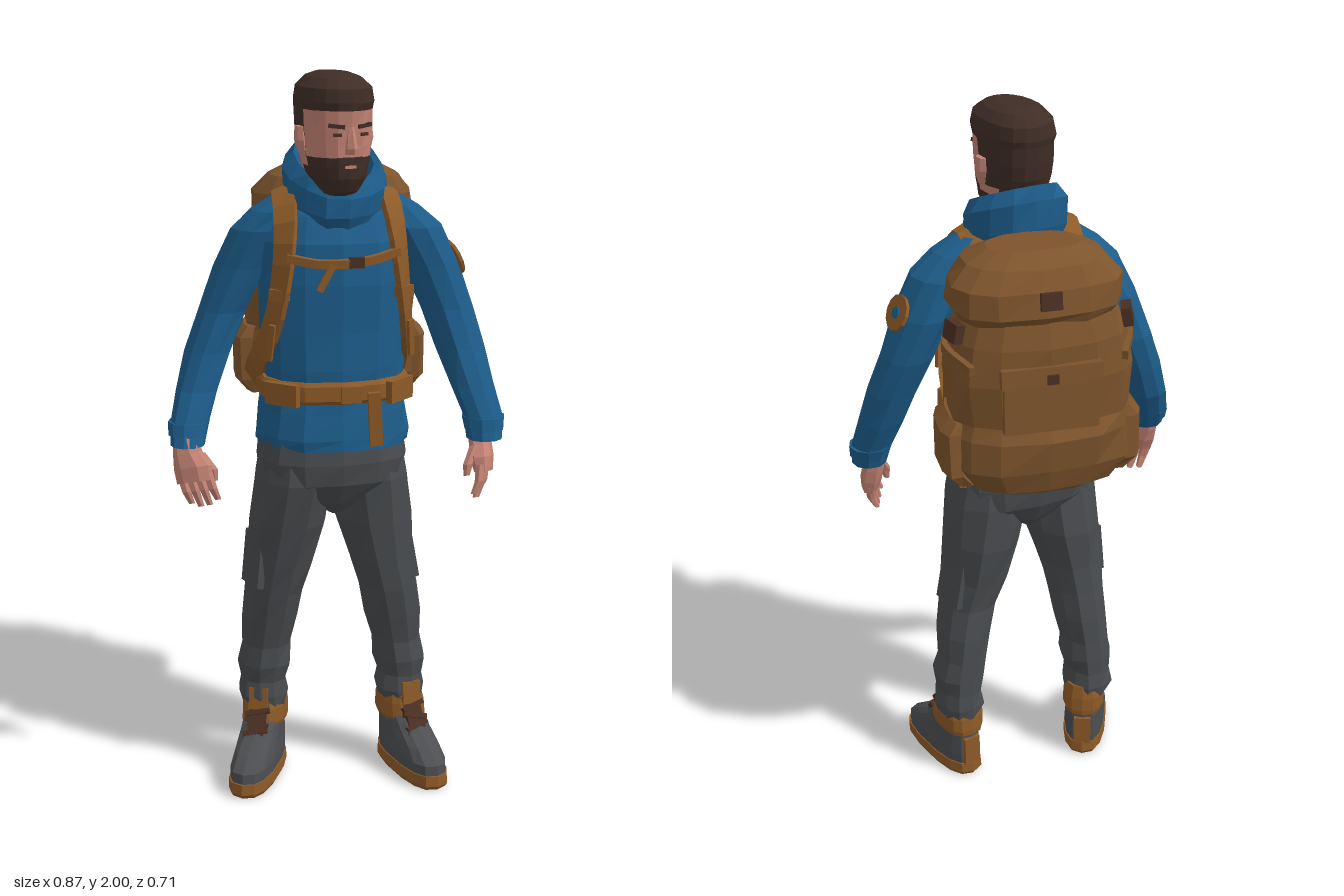
import * as THREE from 'three';

const paint = (name, color) => {
  const m = new THREE.MeshStandardMaterial({ color, flatShading: true });
  m.name = name;
  return m;
};
const M = {
  jacket: paint('jacket blue', 0x1d5d8b), pants: paint('trouser grey', 0x494c4f),
  pack: paint('pack brown', 0x7d542c), strap: paint('strap tan', 0x8d5a27),
  hair: paint('hair brown', 0x402d26), skin: paint('skin', 0xc48374),
  boot: paint('boot grey', 0x4c4e51), dark: paint('dark leather', 0x4b2f23),
};

// Small repeatable noise for cloth folds
const noise = (i, j) => { const s = Math.sin(i * 12.9898 + j * 78.233 + 4.1) * 43758.5453; return (s - Math.floor(s)) * 2 - 1; };

// Skin over horizontal rings [x, y, z, rx, rz, tilt], listed from low to high.
// mat may be an array, with pick(x, y, z) choosing the material of each face.
function loft(name, rings, mat, { n = 12, e = 2, jitter = 0, caps = true, pick } = {}) {
  const pos = [], idx = [], geo = new THREE.BufferGeometry();
  rings.forEach(([x, y, z, rx, rz, tilt = 0], j) => {
    for (let i = 0; i < n; i++) {
      const a = (i + 0.5) / n * Math.PI * 2, c = Math.cos(a), s = Math.sin(a);
      const k = 1 + jitter * noise(i, j);
      const dx = Math.sign(c) * Math.abs(c) ** (2 / e) * rx * k, dz = Math.sign(s) * Math.abs(s) ** (2 / e) * rz * k;
      pos.push(x + dx, y + tilt * dz, z + dz);
    }
  });
  const faces = [];
  for (let j = 0; j < rings.length - 1; j++) for (let i = 0; i < n; i++) {
    const a = j * n + i, b = j * n + (i + 1) % n;
    faces.push([a, a + n, b, b, a + n, b + n]);
  }
  if (caps) [0, rings.length - 1].forEach((j, top) => {
    const c = pos.length / 3;
    pos.push(rings[j][0], rings[j][1], rings[j][2]);
    for (let i = 0; i < n; i++) {
      const a = j * n + i, b = j * n + (i + 1) % n;
      faces.push(top ? [c, b, a] : [c, a, b]);
    }
  });
  const mid = (f, k) => f.reduce((t, v) => t + pos[v * 3 + k], 0) / f.length;
  if (pick) {
    mat.forEach((_, m) => {
      const mine = faces.filter(f => pick(mid(f, 0), mid(f, 1), mid(f, 2)) === m).flat();
      geo.addGroup(idx.length, mine.length, m);
      idx.push(...mine);
    });
  } else idx.push(...faces.flat());
  geo.setAttribute('position', new THREE.Float32BufferAttribute(pos, 3));
  geo.setIndex(idx);
  geo.computeVertexNormals();
  const mesh = new THREE.Mesh(geo, mat);
  mesh.name = name;
  return mesh;
}

function box(name, size, at, mat, rot = [0, 0, 0]) {
  const mesh = new THREE.Mesh(new THREE.BoxGeometry(...size), mat);
  mesh.name = name;
  mesh.position.set(...at);
  mesh.rotation.set(...rot);
  return mesh;
}

// Flat webbing along a path, lying square to the line from the centre c
function strap(name, points, width, mat, c = [0, 1.35, 0], steps = 16, thick = 0.016) {
  const curve = new THREE.CatmullRomCurve3(points.map(p => new THREE.Vector3(...p)));
  const pos = [], idx = [], centre = new THREE.Vector3(...c);
  for (let i = 0; i <= steps; i++) {
    const p = curve.getPoint(i / steps), t = curve.getTangent(i / steps);
    const out = p.clone().sub(centre);
    out.addScaledVector(t, -out.dot(t)).normalize();
    const side = t.clone().cross(out);
    for (const [w, h] of [[-1, -1], [1, -1], [1, 1], [-1, 1]])
      pos.push(...p.clone().addScaledVector(side, w * width / 2).addScaledVector(out, h * thick / 2).toArray());
    if (i < steps) for (let k = 0; k < 4; k++) {
      const a = i * 4 + k, b = i * 4 + (k + 1) % 4;
      idx.push(a, a + 4, b, b, a + 4, b + 4);
    }
  }
  const l = steps * 4;
  idx.push(0, 1, 2, 0, 2, 3, l, l + 2, l + 1, l, l + 3, l + 2);
  const geo = new THREE.BufferGeometry();
  geo.setAttribute('position', new THREE.Float32BufferAttribute(pos, 3));
  geo.setIndex(idx);
  geo.computeVertexNormals();
  const mesh = new THREE.Mesh(geo, mat);
  mesh.name = name;
  return mesh;
}

function group(name, at, yaw, ...parts) {
  const g = new THREE.Group();
  g.name = name;
  g.position.set(...at);
  g.rotation.y = yaw;
  if (parts.length) g.add(...parts);
  return g;
}

function makeHead() {
  const rings = [[0, 1.6, -0.02, .062, .068], [0, 1.68, -0.01, .062, .073], [0, 1.7, .03, .052, .07], [0, 1.735, .018, .074, .098],
    [0, 1.765, .012, .083, .107], [0, 1.79, .006, .087, .114], [0, 1.82, .001, .09, .121], [0, 1.86, 0, .092, .126], [0, 1.91, 0, .094, .13],
    [0, 1.93, 0, .097, .136], [0, 1.965, 0, .09, .13], [0, 1.99, -.005, .066, .1], [0, 2, -.005, .04, .065]];
  const pick = (x, y, z) => {
    if (y > 1.915 || (z < -.035 && y > 1.745)) return 1;
    if (y > 1.685 && y < 1.78 && z > .01) return 1;
    return z < .035 && y > 1.78 ? 1 : 0;
  };
  const g = group('head', [-.012, 0, .13], -.1, loft('headAndHair', rings, [M.skin, M.hair], { n: 18, e: 2.2, jitter: .02, pick }));
  g.add(loft('nose', [[0, 1.8, .115, .018, .026], [0, 1.815, .118, .017, .028], [0, 1.87, .118, .009, .01]], M.skin, { n: 6 }));
  g.add(box('moustache', [.07, .014, .02], [0, 1.785, .112], M.hair), box('lips', [.03, .008, .009], [0, 1.767, .116], M.skin));
  for (const s of [-1, 1]) {
    g.add(box('brow', [.042, .01, .014], [s * .038, 1.872, .116], M.hair, [0, s * .3, s * .1]));
    g.add(box('eye', [.022, .008, .009], [s * .037, 1.85, .118], M.dark, [0, s * .3, 0]));
    g.add(loft('ear', [[s * .088, 1.79, .012, .01, .014], [s * .095, 1.83, .006, .014, .026], [s * .095, 1.865, .003, .011, .022]], M.skin, { n: 6 }));
  }
  return g;
}

function makeTorso() {
  const g = group('torso', [.02, 0, .07], -.3);
  g.add(loft('jacketBody', [[0, 1, 0, .207, .158], [0, 1.03, 0, .211, .161], [0, 1.1, 0, .2, .152], [0, 1.16, 0, .188, .142], [0, 1.22, 0, .196, .148],
    [0, 1.32, 0, .196, .148], [0, 1.45, 0, .203, .152], [0, 1.56, 0, .2, .145], [0, 1.63, 0, .175, .115], [0, 1.68, 0, .12, .09], [0, 1.71, 0, .08, .07]],
    M.jacket, { n: 14, e: 2.4, jitter: .025 }));
  g.add(loft('hipBelt', [[0, 1.13, 0, .2, .153], [0, 1.14, 0, .207, .16], [0, 1.18, 0, .207, .16], [0, 1.19, 0, .2, .153]], M.strap, { n: 14, e: 2.4 }));
  g.add(box('beltBuckle', [.055, .045, .02], [.02, 1.16, .163], M.strap), box('beltTail', [.035, .15, .014], [.085, 1.09, .166], M.strap, [.06, 0, .06]));
  for (const s of [-1, 1]) {
    g.add(strap('shoulderStrap', [[s * .11, 1.57, -.15], [s * .13, 1.655, -.07], [s * .138, 1.69, .02], [s * .146, 1.62, .105],
      [s * .158, 1.5, .135], [s * .18, 1.35, .105], [s * .208, 1.22, 0], [s * .2, 1.15, -.13]], .062, M.strap));
    g.add(box('strapAdjuster', [.05, .03, .024], [s * .168, 1.43, .132], M.strap, [0, s * .6, 0]));
    g.add(box('strapTail', [.018, .1, .01], [s * .19, 1.3, .12], M.strap, [.1, s * .6, s * .1]));
    g.add(box('beltPad', [.1, .06, .02], [s * .16, 1.16, .126], M.strap, [0, s * .75, 0]));
  }
  g.add(strap('chestStrap', [[-.15, 1.53, .15], [-.06, 1.515, .17], [.06, 1.52, .17], [.15, 1.54, .15]], .022, M.strap, [0, 1.53, 0]));
  g.add(box('chestBuckle', [.04, .028, .016], [.03, 1.517, .174], M.dark), box('chestTail', [.018, .08, .01], [-.05, 1.48, .175], M.strap, [0, 0, -.5]));
  return g;
}

function makePack() {
  const g = group('backpack', [.125, 0, -.152], -.41);
  const o = { n: 14, e: 2.6, jitter: .04 };
  g.add(loft('packBody', [[0, 1.055, 0, .14, .085], [0, 1.085, 0, .205, .13], [0, 1.15, 0, .245, .152], [0, 1.24, 0, .252, .156], [0, 1.28, 0, .235, .142],
    [0, 1.4, 0, .243, .148], [0, 1.5, 0, .235, .143], [0, 1.59, 0, .2, .12]], M.pack, o));
  g.add(loft('packLid', [[.01, 1.555, .005, .205, .13], [.01, 1.585, .005, .23, .15], [.01, 1.65, .005, .222, .14], [.01, 1.7, .01, .185, .11], [.01, 1.73, .015, .12, .065]], M.pack, o));
  g.add(loft('backPanel', [[.02, 1.1, .13, .16, .04], [.02, 1.16, .135, .21, .06], [.02, 1.4, .135, .21, .06], [.01, 1.52, .12, .16, .04]], M.pack, { n: 10, e: 2.6, jitter: .03 }));
  g.add(box('backPocket', [.25, .17, .04], [0, 1.36, -.134], M.pack, [.04, 0, 0]), box('pocketFlap', [.265, .05, .045], [0, 1.43, -.137], M.pack, [.1, 0, 0]));
  g.add(box('pocketButton', [.03, .025, .009], [0, 1.425, -.163], M.dark), box('lidClip', [.055, .045, .014], [0, 1.63, -.142], M.dark, [.15, 0, 0]));
  for (const s of [-1, 1]) {
    g.add(loft('sidePocket', [[s * .205, 1.09, .01, .03, .08], [s * .235, 1.13, .01, .035, .1], [s * .238, 1.25, .01, .034, .095], [s * .222, 1.28, .01, .02, .08]], M.pack, { n: 8, e: 2.6, jitter: .05 }));
    g.add(box('lidBuckle', [.026, .05, .06], [s * .228, 1.53, -.04], M.dark, [0, s * .3, s * .2]));
    g.add(strap('compressionStrap', [[s * .2, 1.48, .115], [s * .245, 1.47, 0], [s * .2, 1.45, -.12]], .025, M.pack, [0, 1.46, 0], 8));
    g.add(box('hangingStrap', [.02, .1, .014], [s * .19, 1.075, .05], M.strap, [0, 0, s * .1]));
  }
  return g;
}

function makeHand(name, at, s, yaw) {
  const g = group(name, at, yaw);
  g.rotation.x = -.3;
  g.add(loft('palm', [[0, -.1, .01, .024, .052], [0, -.06, .01, .032, .054], [0, -.02, 0, .031, .04], [0, .04, 0, .028, .03]], M.skin, { n: 8, e: 2.4 }));
  for (let i = 0; i < 4; i++) {
    const z = -.027 + i * .026, drop = .158 + .012 * Math.sin(i * 1.1);
    g.add(loft('finger', [[-s * .03, -drop, z + .006, .008, .009], [-s * .01, -.125, z + .004, .013, .013], [0, -.08, z, .014, .014]], M.skin, { n: 6 }));
  }
  g.add(loft('thumb', [[-s * .042, -.105, .05, .009, .009], [-s * .034, -.075, .052, .015, .015], [-s * .01, -.025, .03, .017, .017]], M.skin, { n: 6 }));
  return g;
}

function makeBoot(name, at, yaw) {
  const g = group(name, at, yaw);
  const o = { n: 14, e: 2.6 };
  g.add(loft('sole', [[0, 0, .08, .058, .156], [0, .012, .08, .064, .165], [0, .042, .08, .063, .162]], M.strap, o));
  g.add(loft('upper', [[0, .035, .08, .06, .157], [0, .07, .078, .061, .156], [0, .105, .055, .058, .13], [0, .135, .028, .056, .1],
    [0, .17, .005, .055, .076], [0, .22, 0, .055, .07]], M.boot, o));
  g.add(loft('collar', [[0, .145, .002, .057, .083], [0, .16, .001, .062, .083], [0, .2, -.002, .062, .077], [0, .24, -.004, .052, .066]], M.strap, o));
  g.add(box('heelPatch', [.05, .09, .012], [0, .085, -.073], M.strap), box('tongueTop', [.055, .07, .014], [0, .23, .068], M.strap, [-.12, 0, 0]));
  g.add(box('tongue', [.05, .12, .014], [0, .15, .102], M.dark, [-.55, 0, 0]));
  for (let i = 0; i < 4; i++) g.add(box('lace', [.07, .014, .016], [0, .12 + i * .025, .122 - i * .014], M.dark, [-.6, 0, i % 2 ? .25 : -.25]));
  return g;
}

export function createModel() {
  const man = group('hiker', [0, 0, 0], 0, makeHead(), makeTorso(), makePack());
  const cloth = { n: 10, jitter: .06, e: 2.2 };

  // Raised hood collar, high at the nape and open at the top
  man.add(group('hood', [.022, 0, .082], -.2, loft('hoodCollar', [[0, 1.61, 0, .115, .11, -.2], [0, 1.67, 0, .142, .135, -.32], [0, 1.735, 0, .138, .138, -.42],
    [0, 1.775, 0, .116, .12, -.46], [0, 1.765, .005, .1, .106, -.46], [0, 1.7, .005, .08, .09, -.3]], M.jacket, { n: 14, jitter: .05, caps: false })));

  // Sleeves with turned cuffs
  man.add(loft('leftSleeve', [[.38, 1.005, .285, .05, .05], [.382, 1.07, .268, .055, .056], [.367, 1.15, .235, .062, .06], [.35, 1.25, .197, .067, .066],
    [.323, 1.36, .165, .071, .075], [.28, 1.48, .14, .076, .085], [.23, 1.585, .125, .08, .083], [.185, 1.64, .115, .066, .066], [.14, 1.68, .11, .04, .045]], M.jacket, cloth));
  man.add(loft('rightSleeve', [[-.38, 1.01, -.012, .047, .046], [-.361, 1.07, -.037, .053, .054], [-.327, 1.15, -.063, .058, .06], [-.286, 1.25, -.078, .061, .066],
    [-.242, 1.36, -.075, .064, .072], [-.2, 1.48, -.05, .068, .08], [-.16, 1.585, -.015, .074, .08], [-.13, 1.635, .01, .062, .066], [-.095, 1.675, .03, .04, .045]], M.jacket, cloth));
  man.add(loft('leftCuff', [[.382, 1.03, .28, .055, .055], [.384, 1.065, .27, .06, .06]], M.jacket, { n: 10 }));
  man.add(loft('rightCuff', [[-.374, 1.035, -.024, .052, .052], [-.364, 1.07, -.036, .057, .057]], M.jacket, { n: 10 }));
  man.add(makeHand('leftHand', [.37, 1.01, .275], 1, -.7), makeHand('rightHand', [-.387, 1.01, -.002], -1, .75));

  // Round sleeve patch
  const patch = group('sleevePatch', [.35, 1.49, .158], 0);
  [[.05, M.strap, 0], [.016, M.jacket, .004]].forEach(([r, mat, lift]) => {
    const disc = new THREE.Mesh(new THREE.CylinderGeometry(r, r, .009, 12), mat);
    disc.name = 'patchDisc';
    disc.position.y = lift;
    patch.add(disc);
  });
  patch.quaternion.setFromUnitVectors(new THREE.Vector3(0, 1, 0), new THREE.Vector3(.9, .4, .12).normalize());
  man.add(patch);

  // Trousers
  man.add(group('hips', [.015, 0, .07], -.25, loft('trouserSeat', [[0, .8, 0, .02, .07], [0, .84, 0, .09, .11], [0, .9, 0, .195, .145], [0, .96, 0, .207, .153], [0, 1.03, 0, .195, .148]], M.pants, { n: 14, e: 2.5, jitter: .02 })));
  man.add(loft('leftLeg', [[.232, .2, .095, .06, .072], [.23, .235, .095, .069, .08], [.229, .28, .095, .062, .072], [.225, .33, .095, .071, .08], [.215, .39, .095, .067, .076],
    [.2, .47, .1, .077, .084], [.18, .56, .105, .08, .088], [.158, .65, .1, .088, .103], [.137, .77, .095, .106, .118], [.12, .9, .09, .11, .126], [.115, 1.02, .085, .09, .11]], M.pants, cloth));
  man.add(loft('rightLeg', [[-.138, .2, -.048, .06, .07], [-.14, .235, -.048, .07, .079], [-.142, .28, -.047, .063, .07], [-.139, .33, -.044, .072, .08], [-.135, .39, -.038, .067, .076],
    [-.13, .47, -.025, .074, .084], [-.125, .56, -.01, .08, .09], [-.117, .65, .01, .088, .103], [-.102, .77, .03, .104, .12], [-.092, .9, .05, .106, .126], [-.085, 1.02, .055, .09, .11]], M.pants, cloth));
  man.add(box('leftCargoPocket', [.02, .15, .1], [.235, .65, .1], M.pants, [0, 0, .2]), box('rightCargoPocket', [.02, .15, .1], [-.192, .66, .01], M.pants, [0, 0, -.1]));

  man.add(makeBoot('leftBoot', [.23, 0, .1], -.05), makeBoot('rightBoot', [-.135, 0, -.046], -.74));
  return man;
}
